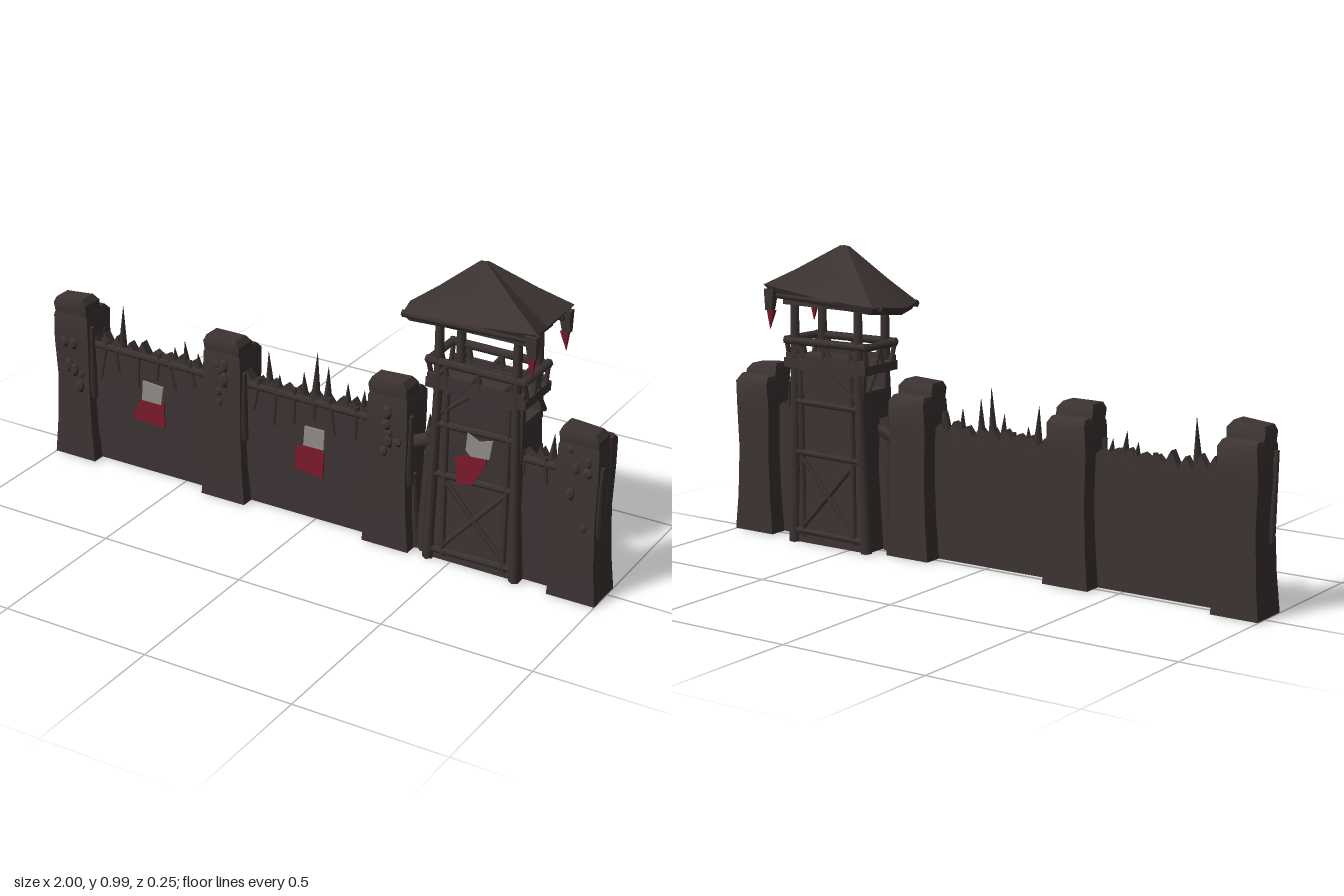
import * as THREE from 'three';
import { toCreasedNormals } from 'three/addons/utils/BufferGeometryUtils.js';

const timber = new THREE.MeshStandardMaterial({ color: 0x3d3433, side: THREE.DoubleSide });
timber.name = 'dark timber';
const red = new THREE.MeshStandardMaterial({ color: 0x7c1a2a, side: THREE.DoubleSide });
red.name = 'red cloth';
const grey = new THREE.MeshStandardMaterial({ color: 0x918c8a, side: THREE.DoubleSide });
grey.name = 'pale emblem';

let seed = 7;
const rnd = (a, b) => {
  seed = (seed * 16807) % 2147483647;
  return a + (b - a) * (seed / 2147483647);
};

function add(parent, name, geo, mat = timber) {
  const m = new THREE.Mesh(geo, mat);
  m.name = name;
  parent.add(m);
  return m;
}

// Skin a stack of rings; each ring is a list of [x, y, z], counterclockwise from above
function loft(rings, crease = 0.6) {
  const pos = [], n = rings[0].length;
  const tri = (a, b, c) => pos.push(...a, ...b, ...c);
  for (let r = 0; r < rings.length - 1; r++) {
    const lo = rings[r], hi = rings[r + 1];
    for (let i = 0; i < n; i++) {
      const j = (i + 1) % n;
      tri(lo[i], lo[j], hi[j]);
      tri(lo[i], hi[j], hi[i]);
    }
  }
  const bottom = rings[0], top = rings[rings.length - 1];
  for (let i = 1; i < n - 1; i++) {
    tri(bottom[0], bottom[i + 1], bottom[i]);
    tri(top[0], top[i], top[i + 1]);
  }
  const g = new THREE.BufferGeometry();
  g.setAttribute('position', new THREE.Float32BufferAttribute(pos, 3));
  return toCreasedNormals(g, crease);
}
const rect = (y, x0, x1, z0, z1, tilt = 0) =>
  [[x0, y, z1], [x1, y + tilt, z1], [x1, y + tilt, z0], [x0, y, z0]];

function box(parent, name, x0, x1, y0, y1, z0, z1) {
  return add(parent, name, loft([rect(y0, x0, x1, z0, z1), rect(y1, x0, x1, z0, z1)]));
}

// Rough beam between two points
function beam(parent, name, a, b, r0 = 0.01, r1 = r0, sides = 5) {
  const p = new THREE.Vector3(...a), q = new THREE.Vector3(...b), d = q.clone().sub(p);
  const m = add(parent, name, new THREE.CylinderGeometry(r1, r0, d.length(), sides));
  m.position.copy(p).add(q).multiplyScalar(0.5);
  m.quaternion.setFromUnitVectors(new THREE.Vector3(0, 1, 0), d.normalize());
}

// Flat plate cut from an outline in the xy plane
function plate(parent, name, pts, z, depth, mat) {
  const s = new THREE.Shape(pts.map(p => new THREE.Vector2(...p)));
  const m = add(parent, name, new THREE.ExtrudeGeometry(s, { depth, bevelEnabled: false }), mat);
  m.position.z = z;
  return m;
}

function pillar(x0, x1, tilt) {
  const g = new THREE.Group();
  g.name = 'pillar';
  add(g, 'pillarBody', loft([
    rect(0, x0, x1, -0.045, 0.092),
    rect(0.12, x0 + 0.01, x1 - 0.012, -0.043, 0.086),
    rect(0.28, x0 + 0.016, x1 - 0.018, -0.04, 0.08),
    rect(0.42, x0 + 0.012, x1 - 0.012, -0.04, 0.085),
    rect(0.51, x0 + 0.016, x1 - 0.012, -0.043, 0.085),
    rect(0.53, x0 + 0.024, x1 - 0.02, -0.025, 0.08)], 0.9));
  add(g, 'pillarCap', loft([
    rect(0.52, x0 + 0.02, x1 - 0.016, 0.005, 0.084),
    rect(0.55, x0 + 0.018, x1 - 0.014, 0.01, 0.088, tilt),
    rect(0.57, x0 + 0.026, x1 - 0.03, 0.022, 0.08, tilt)]));
  // Gnarled knots and leaning stakes on the front
  for (let i = 0; i < 6; i++) {
    const k = add(g, 'knot', new THREE.IcosahedronGeometry(rnd(0.011, 0.019), 0));
    k.position.set(rnd(x0 + 0.05, x1 - 0.04), rnd(0.23, 0.5), 0.084);
    k.scale.set(1, rnd(0.8, 1.8), 0.7);
  }
  for (const [x, s] of [[x0 + 0.02, -1], [x1 - 0.02, 1]])
    beam(g, 'pillarStake', [x, 0.22, 0.055], [x + s * 0.012, rnd(0.44, 0.5), 0.065], 0.017, 0.008);
  return g;
}

// Wall with a jagged top, beam, sticks and spikes [x, tip height]
function wall(x0, x1, spikes) {
  const g = new THREE.Group();
  g.name = 'wall';
  const pts = [[x0, 0], [x1, 0]];
  const n = Math.max(4, Math.round((x1 - x0) / 0.025));
  for (let i = 0; i <= n; i++)
    pts.push([x1 + (x0 - x1) * i / n, i % 2 ? rnd(0.435, 0.465) : rnd(0.41, 0.43)]);
  plate(g, 'wallPanel', pts, 0.018, 0.03, timber);
  beam(g, 'wallBeam', [x0, 0.415, 0.045], [x1, 0.41, 0.045], 0.013);
  for (let x = x0 + 0.03; x < x1 - 0.02; x += 0.075)
    beam(g, 'wallStick', [x, rnd(0.28, 0.36), 0.048], [x + rnd(-0.03, 0.03), rnd(0.42, 0.45), 0.046], 0.006, 0.009);
  for (const [x, y] of spikes)
    beam(g, 'spike', [x + rnd(-0.008, 0.008), 0.4, 0.034], [x, y, 0.034], 0.02, 0.0005, 4);
  return g;
}

function banner(cloth, emblem, z) {
  const g = new THREE.Group();
  g.name = 'banner';
  plate(g, 'bannerCloth', cloth, z, 0.005, red);
  plate(g, 'bannerEmblem', emblem, z + 0.002, 0.006, grey);
  return g;
}

function tower() {
  const g = new THREE.Group();
  g.name = 'watchtower';
  add(g, 'towerBody', loft([
    rect(0, 0.42, 0.74, -0.066, 0.072), rect(0.25, 0.435, 0.725, -0.062, 0.066),
    rect(0.53, 0.43, 0.73, -0.062, 0.068)]));
  box(g, 'frontPanel', 0.43, 0.73, 0.5, 0.6, 0.05, 0.072);
  box(g, 'backPanel', 0.43, 0.73, 0.5, 0.6, -0.066, -0.05);
  box(g, 'platformFloor', 0.41, 0.745, 0.588, 0.618, -0.084, 0.088);
  // Corner posts, braces and rails, mirrored front to back
  for (const [z, s] of [[0.076, 1], [-0.066, -1]]) {
    for (const [xa, xb] of [[0.425, 0.45], [0.725, 0.71]]) {
      beam(g, 'towerPost', [xa, 0, z], [xb, 0.6, z], 0.019, 0.015);
      beam(g, 'roofPost', [xb, 0.58, z], [xb, 0.82, z], 0.017, 0.014);
    }
    for (const y of [0.035, 0.3, 0.47])
      beam(g, 'crossBeam', [0.44, y, z], [0.72, y + 0.005, z], 0.012);
    beam(g, 'brace', [0.47, 0.05, z], [0.69, 0.29, z], 0.008);
    beam(g, 'brace', [0.69, 0.05, z], [0.47, 0.29, z], 0.008);
    for (const x of [0.475, 0.685])
      beam(g, 'innerPost', [x, 0.02, z], [x + 0.005, 0.58, z], 0.01);
    beam(g, 'panelBrace', [0.45, 0.5, z], [0.55, 0.58, z], 0.007);
    const zr = z + s * 0.006;
    beam(g, 'topRail', [0.41, 0.678, zr], [0.745, 0.674, zr], 0.014);
    for (let i = 0; i < 6; i++)
      beam(g, 'railStrut', [0.43 + i * 0.055, 0.605, zr], [0.455 + i * 0.055 + (i % 2 ? -0.04 : 0.03), 0.675, zr], 0.009);
    box(g, 'railBoard', 0.415, 0.74, 0.61, 0.635, zr - 0.006, zr + 0.006);
  }
  // Side rails
  for (const x of [0.418, 0.738]) {
    beam(g, 'sideRail', [x, 0.678, -0.08], [x, 0.675, 0.084], 0.013);
    for (let i = 0; i < 4; i++)
      beam(g, 'sideStrut', [x, 0.605, -0.06 + i * 0.04], [x, 0.675, -0.06 + i * 0.04 + (i % 2 ? 0.025 : -0.015)], 0.008);
    beam(g, 'sideBrace', [x, 0.53, -0.06], [x, 0.59, -0.02], 0.008);
  }
  return g;
}

function roof() {
  const g = new THREE.Group();
  g.name = 'roof';
  const c = [0.55, 1.0, 0];
  const eave = [[0.335, 0.815, 0.1], [0.57, 0.825, 0.1], [0.79, 0.855, 0.12], [0.765, 0.83, 0],
    [0.79, 0.86, -0.125], [0.57, 0.825, -0.1], [0.345, 0.82, -0.125], [0.305, 0.81, 0]];
  const ring = (t, dy) => eave.map(([x, y, z]) =>
    [c[0] + (x - c[0]) * t, c[1] + (y - c[1]) * t + dy, c[2] + (z - c[2]) * t]);
  const lower = eave.map(([x, y, z]) => [c[0] + (x - c[0]) * 0.92, y - 0.025, z * 0.9]);
  add(g, 'roofCanopy', loft([lower, eave, ring(0.6, -0.004), ring(0.06, 0)], 0.3));
  box(g, 'roofFrame', 0.42, 0.74, 0.795, 0.835, -0.088, 0.088);
  for (const z of [-0.1, 0.1])
    beam(g, 'eaveBeam', [0.33, 0.81, z * 0.9], [0.77, 0.825, z], 0.012);
  // Drooping corner rags with red tips
  for (const s of [1, -1]) {
    const rag = (y0, y1, w0, w1) => loft([
      rect(y0, 0.775 - w0, 0.775 + w0, s * 0.113 - w0 * 0.7, s * 0.113 + w0 * 0.7),
      rect(y1, 0.77 - w1, 0.77 + w1, s * 0.111 - w1 * 0.7, s * 0.111 + w1 * 0.7)]);
    add(g, 'cornerRag', rag(0.775, 0.845, 0.013, 0.02));
    add(g, 'ragTip', rag(0.715, 0.775, 0.001, 0.013), red);
  }
  return g;
}

export function createModel() {
  const model = new THREE.Group();
  model.name = 'palisadeWall';
  for (const [x0, x1, tilt] of [[-1, -0.84, 0.01], [-0.41, -0.245, 0], [0.195, 0.36, 0.005], [0.84, 1, -0.008]])
    model.add(pillar(x0, x1, tilt));
  model.add(
    wall(-0.86, -0.39, [[-0.82, 0.48], [-0.74, 0.57], [-0.66, 0.46], [-0.54, 0.47], [-0.5, 0.5], [-0.45, 0.47]]),
    wall(-0.26, 0.21, [[-0.18, 0.54], [-0.14, 0.47], [-0.05, 0.5], [0, 0.58], [0.04, 0.54], [0.11, 0.5], [0.17, 0.49]]),
    wall(0.4, 0.86, [[0.78, 0.47], [0.82, 0.51], [0.4, 0.47]]));
  // Leaning stakes around the gap beside the tower
  beam(model, 'gapStake', [0.39, 0, 0.03], [0.4, 0.42, 0.03], 0.03, 0.012);
  beam(model, 'gapStake', [0.345, 0.36, 0.03], [0.44, 0.4, 0.03], 0.025);
  beam(model, 'gapStake', [0.36, 0, 0.03], [0.345, 0.25, 0.03], 0.022, 0.01);
  beam(model, 'endPlank', [0.976, 0.18, 0.005], [0.976, 0.53, 0], 0.004, 0.02);
  model.add(tower(), roof());
  model.add(
    banner([[-0.7, 0.19], [-0.57, 0.18], [-0.57, 0.27], [-0.66, 0.265]],
      [[-0.655, 0.265], [-0.58, 0.265], [-0.57, 0.33], [-0.65, 0.335]], 0.058),
    banner([[-0.07, 0.17], [0.035, 0.16], [0.04, 0.265], [-0.065, 0.25]],
      [[-0.035, 0.262], [0.04, 0.262], [0.042, 0.33], [-0.03, 0.33]], 0.058),
    banner([[0.525, 0.29], [0.58, 0.3], [0.625, 0.38], [0.62, 0.41], [0.52, 0.38]],
      [[0.575, 0.395], [0.635, 0.4], [0.645, 0.465], [0.6, 0.45], [0.56, 0.47], [0.555, 0.41]], 0.086));
  return model;
}
